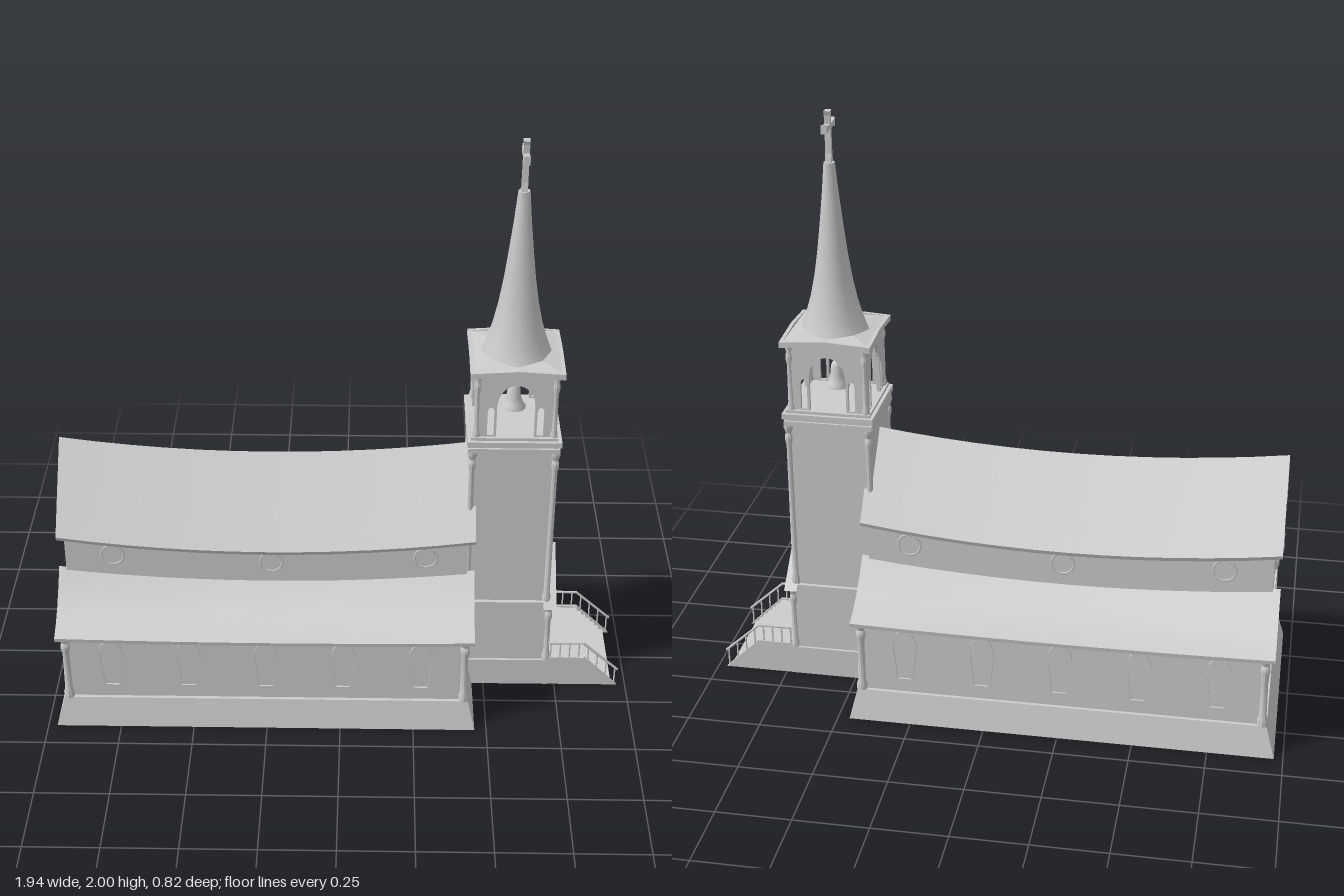
import * as THREE from 'three';
import { toCreasedNormals } from 'three/addons/utils/BufferGeometryUtils.js';

export function createModel() {
  const model = new THREE.Group();
  model.name = 'church';
  const stone = new THREE.MeshStandardMaterial({ color: 0xcccccc, side: THREE.DoubleSide });
  stone.name = 'pale grey';

  const add = (name, geo, x = 0, y = 0, z = 0, ry = 0, parent = model) => {
    const m = new THREE.Mesh(geo, stone);
    m.name = name;
    m.position.set(x, y, z);
    m.rotation.y = ry;
    parent.add(m);
    return m;
  };
  const box = (name, x0, x1, y0, y1, z0, z1) =>
    add(name, new THREE.BoxGeometry(x1 - x0, y1 - y0, z1 - z0), (x0 + x1) / 2, (y0 + y1) / 2, (z0 + z1) / 2);
  const poly = pts => new THREE.Shape(pts.map(p => new THREE.Vector2(...p)));
  const extrude = (shape, depth) =>
    new THREE.ExtrudeGeometry(shape, { depth, bevelEnabled: false, curveSegments: 10 });

  // Skin a list of closed rings of [x, y, z]; caps close the first and last ring
  const loft = (rings, caps = false) => {
    const n = rings[0].length, pos = rings.flat(2), idx = [];
    for (let i = 0; i < rings.length - 1; i++)
      for (let j = 0; j < n; j++) {
        const a = i * n + j, b = i * n + (j + 1) % n;
        idx.push(a, b, a + n, b, b + n, a + n);
      }
    if (caps) for (const r of [0, rings.length - 1]) {
      const flat = rings[r].map(p => new THREE.Vector2(p[2], p[1]));
      THREE.ShapeUtils.triangulateShape(flat, []).forEach(t => idx.push(...t.map(k => k + r * n)));
    }
    const g = new THREE.BufferGeometry();
    g.setAttribute('position', new THREE.Float32BufferAttribute(pos, 3));
    g.setIndex(idx);
    return toCreasedNormals(g, 0.45);
  };

  // Sagging sections along the nave: profile points are [z, y, sag]
  const sagged = (profile, x0, x1) => {
    const rings = [];
    for (let i = 0; i <= 12; i++) {
      const x = x0 + (x1 - x0) * i / 12, s = 1 - ((x + 0.25) / 0.7) ** 2;
      rings.push(profile.map(([z, y, d]) => [x, y - d * s, z]));
    }
    return loft(rings, true);
  };

  // Arched outline standing on y = 0, wider at the shoulder than at the sill
  const arch = (sill, shoulder, h, spring, inset = 0, P = THREE.Shape) => {
    const s = new P(), a = sill - inset, b = shoulder - inset, t = h - inset;
    s.moveTo(-a, inset);
    s.lineTo(a, inset);
    s.lineTo(b, spring);
    s.bezierCurveTo(b, spring + (t - spring) * 0.6, b * 0.55, t, 0, t);
    s.bezierCurveTo(-b * 0.55, t, -b, spring + (t - spring) * 0.6, -b, spring);
    s.closePath();
    return s;
  };
  const windowFrame = (name, x, y, z, ry, sill, shoulder, h) => {
    const s = arch(sill, shoulder, h, h * 0.65);
    s.holes.push(arch(sill, shoulder, h, h * 0.65, 0.007, THREE.Path));
    add(name, extrude(s, 0.006), x, y, z, ry);
  };

  // Round column with swollen base and capital
  const column = (name, x, z, y0, y1, r) => {
    const h = y1 - y0;
    const pts = [[1.5, 0], [1.5, 0.02], [1.1, 0.035], [0.95, h - 0.075], [1.35, h - 0.055],
      [1.35, h - 0.04], [1, h - 0.03], [1.6, h - 0.012], [1.6, h]];
    add(name, toCreasedNormals(new THREE.LatheGeometry(pts.map(p => new THREE.Vector2(p[0] * r, p[1])), 10), 0.6), x, y0, z);
  };

  const Q = Math.PI / 2, SIDES = [1, -1];

  // Nave plinth and end walls
  const rect = (x0, x1, z, y) => [[x0, y, -z], [x1, y, -z], [x1, y, z], [x0, y, z]];
  add('navePlinth', loft([rect(-0.97, 0.46, 0.41, 0), rect(-0.94, 0.435, 0.385, 0.105), rect(-0.93, 0.425, 0.372, 0.105)]));
  const half = [[0.372, 0.105], [0.372, 0.36], [0.3, 0.41], [0.205, 0.505], [0.205, 0.655]];
  const endWall = poly([...half, [0, 0.895], ...half.map(([z, y]) => [-z, y]).reverse()]);
  add('backEndWall', new THREE.ShapeGeometry(endWall), -0.93, 0, 0, -Q);
  add('towerEndWall', new THREE.ShapeGeometry(endWall), 0.425, 0, 0, Q);

  // Sagging roofs
  add('upperRoof', sagged([[-0.22, 0.65, 0.05], [0, 0.91, 0.05], [0.22, 0.65, 0.05],
    [0.215, 0.636, 0.05], [0, 0.893, 0.05], [-0.215, 0.636, 0.05]], -0.955, 0.45));
  for (const s of SIDES) {
    add('aisleRoof', sagged([[0.2, 0.52, 0.04], [0.25, 0.465, 0.032], [0.3, 0.42, 0.025], [0.35, 0.388, 0.016], [0.402, 0.366, 0.008],
      [0.4, 0.352, 0.008], [0.35, 0.373, 0.016], [0.3, 0.405, 0.025], [0.25, 0.449, 0.032], [0.2, 0.503, 0.04]]
      .map(([z, y, d]) => [z * s, y, d]), -0.955, 0.45));
    box('aisleWall', -0.93, 0.425, 0.105, 0.362, s * 0.37 - 0.003, s * 0.37 + 0.003);
    add('clerestoryWall', sagged([[s * 0.207, 0.5, 0.045], [s * 0.207, 0.652, 0.05],
      [s * 0.2, 0.655, 0.05], [s * 0.2, 0.5, 0.045]], -0.93, 0.425));

    // Windows along the sides and at the tower end
    const ry = s > 0 ? 0 : Math.PI;
    for (let i = 0; i < 5; i++)
      windowFrame('aisleWindow', -0.775 + i * 0.262, 0.15, s * 0.373, ry, 0.03, 0.043, 0.19);
    for (const x of [-0.77, -0.235, 0.285])
      add('roundWindow', new THREE.TorusGeometry(0.038, 0.004, 4, 20), x, x < -0.5 || x > 0 ? 0.575 : 0.553, s * 0.208);
    windowFrame('frontAisleWindow', 0.425, 0.16, s * 0.27, Q, 0.032, 0.045, 0.195);
    windowFrame('backSideWindow', -0.93, 0.16, s * 0.16, -Q, 0.036, 0.052, 0.23);
    for (const x of [-0.925, 0.42]) column('naveColumn', x, s * 0.375, 0.105, 0.362, 0.012);
  }
  windowFrame('backMiddleWindow', -0.93, 0.16, 0, -Q, 0.042, 0.06, 0.31);

  // Tower shaft with mouldings and corner columns
  const C = 0.568;
  const slab = (name, h, y0, y1) => box(name, C - h, C + h, y0, y1, -h, h);
  box('towerPlinth', 0.425, 0.725, 0, 0.105, -0.156, 0.156);
  box('towerBase', 0.425, 0.715, 0.105, 0.345, -0.147, 0.147);
  box('baseMoulding', 0.425, 0.728, 0.34, 0.355, -0.156, 0.156);
  slab('towerShaft', 0.142, 0.355, 0.965);
  slab('lowerCornice', 0.15, 0.955, 0.972);
  slab('upperCornice', 0.155, 0.98, 1.0);
  slab('corniceNeck', 0.143, 0.965, 1.01);
  for (const s of SIDES) {
    for (const t of SIDES) column('towerColumn', C + t * 0.137, s * 0.14, 0.355, 0.957, 0.01);
    column('porchColumn', 0.716, s * 0.143, 0.105, 0.342, 0.01);
  }
  windowFrame('towerWindow', C + 0.142, 0.53, 0, Q, 0.042, 0.062, 0.31);

  // Porch gable and doorway
  add('porchGable', extrude(poly([[-0.15, 0.35], [0.15, 0.35], [0, 0.488]]), 0.03), 0.69, 0, 0, Q);
  add('porchRoof', extrude(poly([[-0.175, 0.338], [0, 0.5], [0.175, 0.338], [0.162, 0.338], [0, 0.484], [-0.162, 0.338]]), 0.045),
    0.695, 0, 0, Q);
  windowFrame('doorFrame', 0.715, 0.116, 0, Q, 0.075, 0.08, 0.27);
  box('doorSplit', 0.715, 0.719, 0.116, 0.29, -0.003, 0.003);
  box('doorTransom', 0.715, 0.72, 0.288, 0.296, -0.078, 0.078);
  for (const s of SIDES) {
    box('doorPanel', 0.715, 0.718, 0.14, 0.27, s * 0.038 - 0.022, s * 0.038 + 0.022);
    const bar = box('fanlightBar', 0.715, 0.719, 0.295, 0.36, -0.002, 0.002);
    bar.position.z = s * 0.022;
    bar.rotation.x = s * 0.5;
  }

  // Steps, stringers and railings
  const steps = [[0.72, 0], [0.72, 0.112]], N = 7;
  for (let i = 0; i < N; i++) {
    const x = 0.85 + i * 0.0165, y = 0.112 * (1 - i / N);
    steps.push([x, y], [x, y - 0.112 / N]);
  }
  add('steps', extrude(poly(steps), 0.29), 0, 0, -0.145);
  const rail = (name, a, b, r) => {
    const path = new THREE.LineCurve3(new THREE.Vector3(...a), new THREE.Vector3(...b));
    add(name, new THREE.TubeGeometry(path, 1, r, 6));
  };
  for (const s of SIDES) {
    const z = s * 0.15;
    add('stringer', extrude(poly([[0.72, 0], [0.97, 0], [0.85, 0.117], [0.72, 0.117]]), 0.01), 0, 0, z - 0.005);
    rail('landingRail', [0.72, 0.177, z], [0.847, 0.177, z], 0.0045);
    rail('slopingRail', [0.845, 0.177, z], [0.97, 0.064, z], 0.0045);
    for (let i = 0; i < 8; i++) {
      const x = 0.732 + i * 0.0328, y = x < 0.85 ? 0.115 : 0.115 - (x - 0.85) * 0.95;
      rail('baluster', [x, Math.max(y, 0), z], [x, y + 0.062, z], 0.003);
    }
  }

  // Open belfry: four pierced walls with corner posts and gabled eaves
  for (let i = 0; i < 4; i++) {
    const side = new THREE.Group();
    side.name = 'belfrySide';
    side.position.set(C, 0, 0);
    side.rotation.y = i * Q;
    model.add(side);
    const wall = poly([[-0.13, 1.0], [0.13, 1.0], [0.13, 1.245], [-0.13, 1.245]]);
    const hole = (cx, w, y0, h, spring) => {
      const p = arch(w, w, h, spring, 0, THREE.Path).getPoints(8);
      wall.holes.push(new THREE.Path(p.map(v => new THREE.Vector2(v.x + cx, v.y + y0))));
    };
    hole(0, 0.062, 1.01, 0.192, 0.11);
    for (const s of SIDES) hole(s * 0.081, 0.011, 1.015, 0.105, 0.085);
    add('belfryWall', extrude(wall, 0.012), 0, 0, 0.12, 0, side);
    add('eaveTrim', extrude(poly([[-0.153, 1.236], [-0.153, 1.256], [0, 1.266], [0.153, 1.256], [0.153, 1.236], [0, 1.252]]), 0.012),
      0, 0, 0.141, 0, side);
    const post = C + (i % 2 ? 0.127 : -0.127);
    column('belfryPost', post, i < 2 ? 0.127 : -0.127, 1.0, 1.245, 0.009);
  }
  slab('belfryCeiling', 0.148, 1.243, 1.256);
  const cap = new THREE.ConeGeometry(0.153 * Math.SQRT2, 0.03, 4);
  cap.rotateY(Math.PI / 4);
  add('belfryRoof', toCreasedNormals(cap, 0.1), C, 1.268, 0);

  // Bell
  const bell = [[0, 1.145], [0.012, 1.14], [0.02, 1.125], [0.024, 1.09], [0.032, 1.066], [0.043, 1.05], [0.036, 1.05], [0.02, 1.08]];
  add('bell', new THREE.LatheGeometry(bell.map(p => new THREE.Vector2(...p)), 16), C);
  rail('bellRod', [C, 1.13, 0], [C, 1.25, 0], 0.004);
  add('bellClapper', new THREE.SphereGeometry(0.01, 8, 6), C, 1.05, 0);

  // Eight-sided curved spire
  const spire = [[0.116, 1.262], [0.098, 1.31], [0.08, 1.37], [0.065, 1.44], [0.051, 1.53], [0.039, 1.63], [0.028, 1.73], [0.019, 1.83], [0, 1.832]];
  add('spire', toCreasedNormals(new THREE.LatheGeometry(spire.map(p => new THREE.Vector2(...p)), 8), 0.9), C);

  // Cross with flared arms
  const cross = [[0.013, 1.825], [0.007, 1.86], [0.006, 1.942], [0.044, 1.939], [0.052, 1.935], [0.052, 1.966], [0.044, 1.96],
    [0.006, 1.957], [0.008, 1.985], [0.013, 2.0]];
  add('cross', extrude(poly([...cross, ...cross.map(([x, y]) => [-x, y]).reverse()]), 0.02), C - 0.01, 0, 0, Q);
  return model;
}
